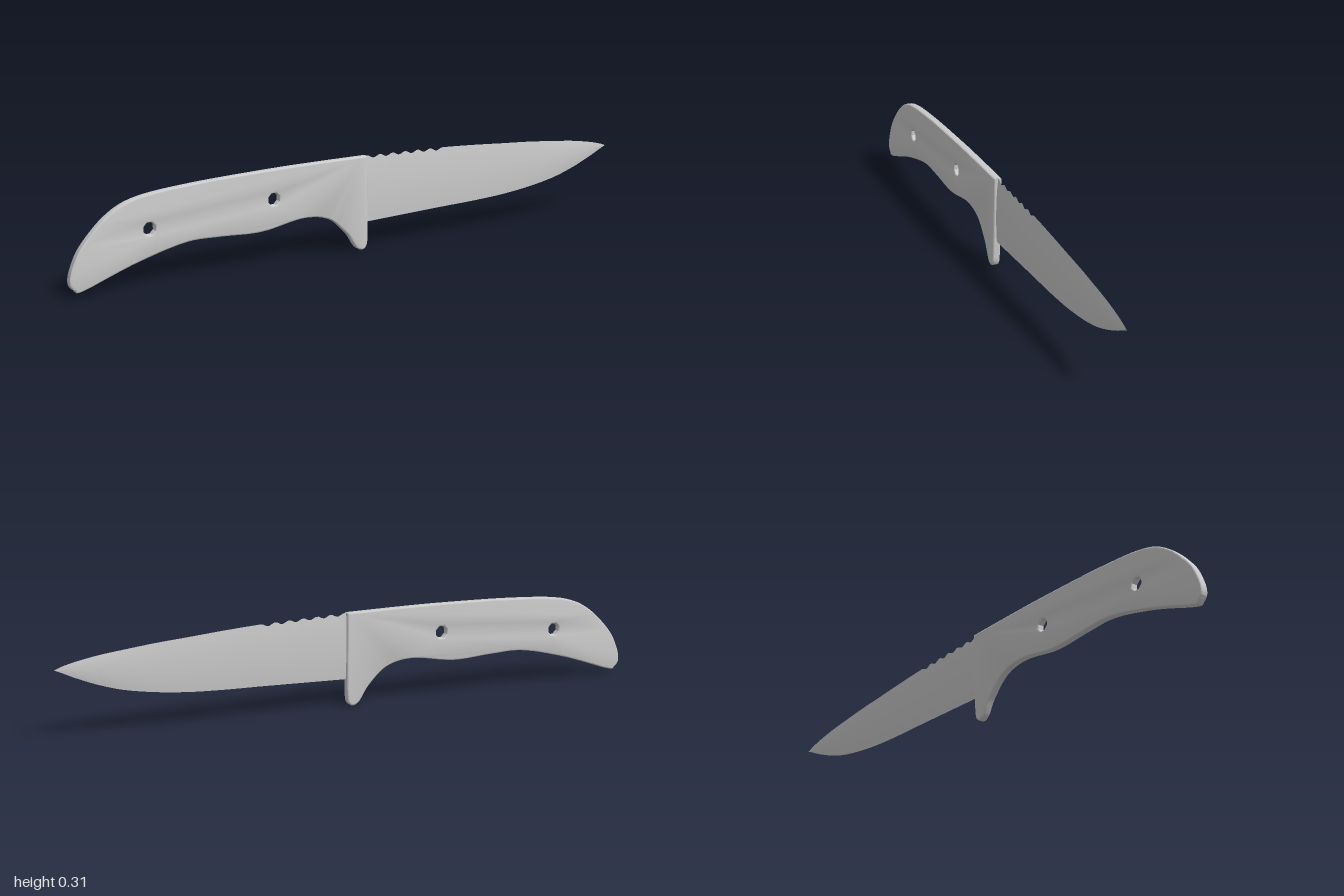
import * as THREE from 'three';
import { toCreasedNormals } from 'three/addons/utils/BufferGeometryUtils.js';

const material = new THREE.MeshStandardMaterial({ color: 0xcccccc });
const vectors = (list) => list.map(([x, y]) => new THREE.Vector2(x, y));

// The whole knife leans very slightly: z shifts with height
function lean(geometry) {
  const p = geometry.attributes.position;
  for (let i = 0; i < p.count; i++) p.setZ(i, p.getZ(i) + (0.17 - p.getY(i)) * 0.018);
  return geometry;
}

// Slab handle with finger guard, softened edges and two rivet holes
function handleGeometry() {
  const shape = new THREE.Shape();
  shape.moveTo(0.034, 0.307);
  shape.splineThru(vectors([
    [-0.14, 0.308], [-0.31, 0.307], [-0.58, 0.299], [-0.77, 0.281], [-0.87, 0.239],
    [-0.955, 0.158], [-0.99, 0.095], [-1, 0.05], [-0.985, 0.026], [-0.955, 0.022],
    [-0.79, 0.078], [-0.62, 0.119], [-0.5, 0.12], [-0.355, 0.114], [-0.205, 0.136],
    [-0.11, 0.12], [-0.045, 0.065], [-0.01, 0.014], [0.014, 0.003], [0.03, 0.018], [0.034, 0.06],
  ]));
  for (const [x, y] of [[-0.735, 0.18], [-0.307, 0.212]]) {
    const hole = new THREE.Path();
    for (let i = 0; i < 8; i++) {
      const a = -(i + 0.5) * Math.PI / 4;
      const px = x + 0.021 * Math.cos(a), py = y + 0.021 * Math.sin(a);
      if (i) hole.lineTo(px, py); else hole.moveTo(px, py);
    }
    hole.closePath();
    shape.holes.push(hole);
  }
  const geometry = new THREE.ExtrudeGeometry(shape, {
    depth: 0.015, curveSegments: 6, bevelEnabled: true,
    bevelThickness: 0.005, bevelSize: 0.005, bevelOffset: -0.005, bevelSegments: 3,
  });
  geometry.translate(0, 0, -0.0075);
  return toCreasedNormals(lean(geometry), 0.7);
}

// Lens-section blade lofted between its spine and its cutting edge
function bladeGeometry() {
  const xs = [0, 0.035, 0.2, 0.33, 0.45, 0.57, 0.68, 0.78, 0.86, 0.93, 0.975, 1];
  const spineY = [0.306, 0.306, 0.302, 0.297, 0.29, 0.281, 0.273, 0.263, 0.254, 0.242, 0.231, 0.222];
  const edgeY = [0.09, 0.09, 0.095, 0.099, 0.102, 0.108, 0.12, 0.138, 0.162, 0.19, 0.211, 0.222];
  const spine = new THREE.SplineCurve(vectors(xs.map((x, i) => [x, spineY[i]])));
  const edge = new THREE.SplineCurve(vectors(xs.map((x, i) => [x, edgeY[i]])));
  const stations = 220, half = 10, ring = half * 2;
  const positions = [], index = [];
  for (let i = 0; i <= stations; i++) {
    const top = spine.getPoint(i / stations), bottom = edge.getPoint(i / stations);
    // Thumb notches along the spine near the guard
    const u = (top.x - 0.04) / 0.048;
    const notch = u > 0 && u < 6 ? 0.009 * Math.sin(Math.PI * u) ** 2 : 0;
    const thickness = 0.0045 * Math.min(1, (top.y - bottom.y) / 0.1);
    for (let j = 0; j < ring; j++) {
      const t = (j <= half ? j : ring - j) / half;
      const z = thickness * Math.sin(Math.PI * t) ** 0.8 * (j < half ? 1 : -1);
      positions.push(top.x, bottom.y + (top.y - bottom.y) * t - notch * t ** 8, z);
      if (i < stations) {
        const a = i * ring + j, b = i * ring + (j + 1) % ring;
        index.push(a, a + ring, b + ring, a, b + ring, b);
      }
    }
  }
  const geometry = new THREE.BufferGeometry();
  geometry.setAttribute('position', new THREE.Float32BufferAttribute(positions, 3));
  geometry.setIndex(index);
  return toCreasedNormals(lean(geometry), 0.7);
}

export function createModel() {
  const knife = new THREE.Group();
  knife.name = 'knife';
  const parts = { handle: handleGeometry(), blade: bladeGeometry() };
  for (const [name, geometry] of Object.entries(parts)) {
    const mesh = new THREE.Mesh(geometry, material);
    mesh.name = name;
    knife.add(mesh);
  }
  return knife;
}
